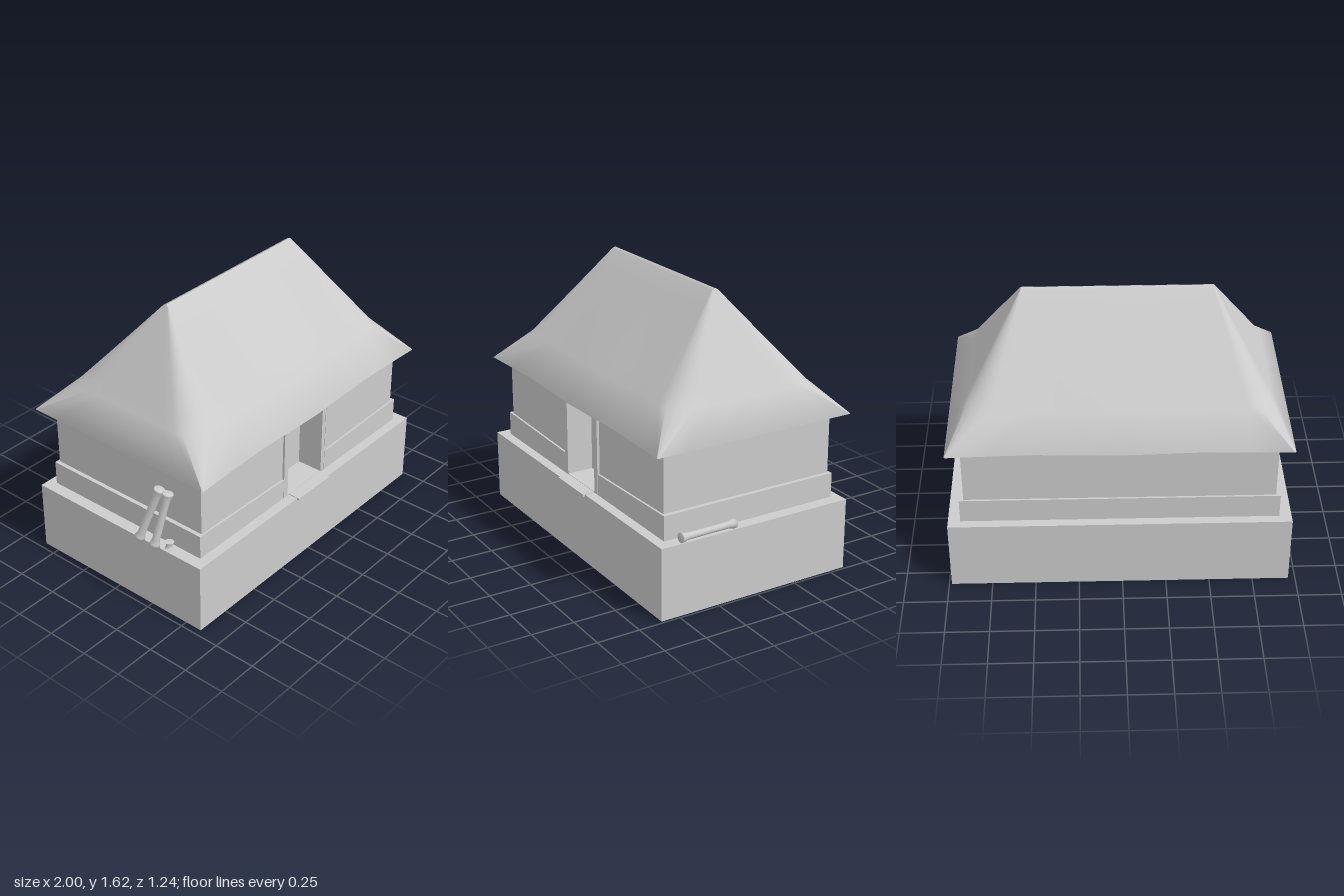
import * as THREE from 'three';

const CX = 0.0125; // centre line of the house body
const DOOR = { left: -0.135, right: 0.175, top: 0.87, back: 0.39 };
const mat = new THREE.MeshStandardMaterial({ color: 0xcccccc });
const matDouble = new THREE.MeshStandardMaterial({ color: 0xcccccc, side: THREE.DoubleSide });

function add(group, name, geometry, material = mat) {
  const mesh = new THREE.Mesh(geometry, material);
  mesh.name = name;
  group.add(mesh);
  return mesh;
}

// Box given by its limits on each axis
function block(x0, x1, y0, y1, z0, z1) {
  return new THREE.BoxGeometry(x1 - x0, y1 - y0, z1 - z0)
    .translate((x0 + x1) / 2, (y0 + y1) / 2, (z0 + z1) / 2);
}

const polygon = (pts) => new THREE.Shape(pts.map(([x, y]) => new THREE.Vector2(x, y)));

// Rectangular floor plan with a notch for the doorway, raised from y0 to y1
function notchedStorey(hx, hz, y0, y1) {
  const plan = polygon([
    [CX - hx, hz], [CX - hx, -hz], [DOOR.left, -hz], [DOOR.left, -DOOR.back],
    [DOOR.right, -DOOR.back], [DOOR.right, -hz], [CX + hx, -hz], [CX + hx, hz],
  ]);
  return new THREE.ExtrudeGeometry(plan, { depth: y1 - y0, bevelEnabled: false })
    .rotateX(-Math.PI / 2).translate(0, y0, 0);
}

// Closed loop of points around a rounded rectangle, with divided sides
function roundedLoop(hx, hz, r, y, wave) {
  const arc = [];
  const steps = 4, sides = 8;
  [[1, 1], [-1, 1], [-1, -1], [1, -1]].forEach(([sx, sz], c) => {
    for (let k = 0; k <= steps; k++) {
      const a = (c + k / steps) * Math.PI / 2;
      arc.push([sx * (hx - r) + r * Math.cos(a), sz * (hz - r) + r * Math.sin(a)]);
    }
  });
  const loop = [];
  arc.forEach(([x, z], i) => {
    const [nx, nz] = arc[(i + 1) % arc.length];
    const n = i % (steps + 1) === steps ? sides : 1;
    for (let k = 0; k < n; k++) {
      const px = x + (nx - x) * k / n, pz = z + (nz - z) * k / n;
      const bulge = wave * Math.cos(px * Math.PI * 2) * Math.sign(pz) * (Math.abs(pz) > hz * 0.9 ? 1 : 0);
      loop.push([px + CX, y, pz + bulge]);
    }
  });
  return loop;
}

// Hipped thatch: underside, flared eave, then rings narrowing to the ridge
function roofGeometry() {
  const rings = [
    roundedLoop(0.865, 0.525, 0.01, 0.93, 0),
    roundedLoop(0.957, 0.612, 0.01, 0.92, 0.008),
  ];
  for (let i = 0; i <= 6; i++) {
    const t = i / 6;
    const hz = THREE.MathUtils.lerp(0.46, 0.02, t);
    rings.push(roundedLoop(THREE.MathUtils.lerp(0.845, 0.535, t), hz, hz * 0.3,
      THREE.MathUtils.lerp(1.1, 1.61, t), 0.006 * (1 - t)));
  }
  rings.push(roundedLoop(0.53, 0.001, 0.0005, 1.62, 0));
  const n = rings[0].length, index = [];
  for (let i = 0; i < rings.length - 1; i++) {
    for (let j = 0; j < n; j++) {
      const a = i * n + j, b = i * n + (j + 1) % n;
      index.push(a, a + n, b, b, a + n, b + n);
    }
  }
  const geo = new THREE.BufferGeometry();
  geo.setAttribute('position', new THREE.Float32BufferAttribute(rings.flat(2), 3));
  geo.setIndex(index);
  geo.computeVertexNormals();
  return geo;
}

// Round timber with flared ends between two points
function timber(group, name, from, to, r) {
  const a = new THREE.Vector3(...from), b = new THREE.Vector3(...to);
  const len = a.distanceTo(b);
  const profile = [[0, 0], [1, 0], [0.95, 0.05], [0.7, 0.12], [0.68, 0.5], [0.72, 0.88], [1, 0.97], [1, 1], [0, 1]]
    .map(([x, y]) => new THREE.Vector2(x * r, y * len));
  const mesh = add(group, name, new THREE.LatheGeometry(profile, 12));
  mesh.position.copy(a);
  mesh.quaternion.setFromUnitVectors(new THREE.Vector3(0, 1, 0), b.sub(a).normalize());
}

export function createModel() {
  const house = new THREE.Group();
  house.name = 'house';

  // Hollow foundation, open below, with a ledge around the walls
  const sides = block(-0.96, 0.985, 0, 0.42, -0.6, 0.605);
  const idx = Array.from(sides.index.array);
  sides.setIndex([...idx.slice(0, 12), ...idx.slice(24)]);
  add(house, 'foundationSides', sides, matDouble);
  const ledge = polygon([[-0.96, -0.605], [0.985, -0.605], [0.985, 0.6], [-0.96, 0.6]]);
  ledge.holes.push(polygon([[-0.88, -0.535], [-0.88, 0.535], [0.905, 0.535], [0.905, -0.535]]));
  add(house, 'foundationLedge', new THREE.ShapeGeometry(ledge).rotateX(-Math.PI / 2).translate(0, 0.42, 0), matDouble);

  // Plinth, its top edge sagging slightly towards the doorway
  const plinth = notchedStorey(0.902, 0.547, 0.421, 0.565);
  const p = plinth.attributes.position;
  for (let i = 0; i < p.count; i++) {
    if (p.getY(i) > 0.5 && Math.abs(p.getX(i)) < 0.3) p.setY(i, 0.545);
  }
  add(house, 'plinth', plinth);
  add(house, 'walls', notchedStorey(0.877, 0.535, 0.425, 0.95));

  // Doorway: frame, lintel, thin jamb and threshold
  const frame = polygon([
    [-0.17, 0.422], [DOOR.left, 0.422], [DOOR.left, DOOR.top], [DOOR.right, DOOR.top],
    [DOOR.right, 0.422], [0.212, 0.422], [0.212, 0.92], [-0.17, 0.92],
  ]);
  add(house, 'doorFrame', new THREE.ExtrudeGeometry(frame, { depth: 0.06, bevelEnabled: false }).translate(0, 0, 0.488));
  add(house, 'doorHead', block(DOOR.left, DOOR.right, DOOR.top, 0.94, DOOR.back, 0.5));
  add(house, 'lintel', block(-0.2, 0.22, DOOR.top, 0.925, 0.5, 0.551));
  add(house, 'jamb', block(0.205, 0.215, 0.422, DOOR.top, 0.5, 0.55));
  add(house, 'threshold', block(-0.12, 0.17, 0.41, 0.424, 0.37, 0.62));
  add(house, 'doorwayFloor', block(DOOR.left, DOOR.right, 0.42, 0.426, DOOR.back, 0.547));

  add(house, 'roof', roofGeometry(), matDouble);

  // Loose timbers on the ledge and leaning against the wall
  timber(house, 'lyingTimber', [0.958, 0.443, 0.13], [0.968, 0.446, 0.48], 0.028);
  timber(house, 'leaningTimber', [-0.972, 0.43, 0.18], [-0.896, 0.755, 0.27], 0.031);
  timber(house, 'leaningTimber', [-0.972, 0.43, 0.29], [-0.896, 0.755, 0.33], 0.031);
  timber(house, 'shortTimber', [-0.925, 0.422, 0.355], [-0.922, 0.46, 0.355], 0.027);

  return house;
}
